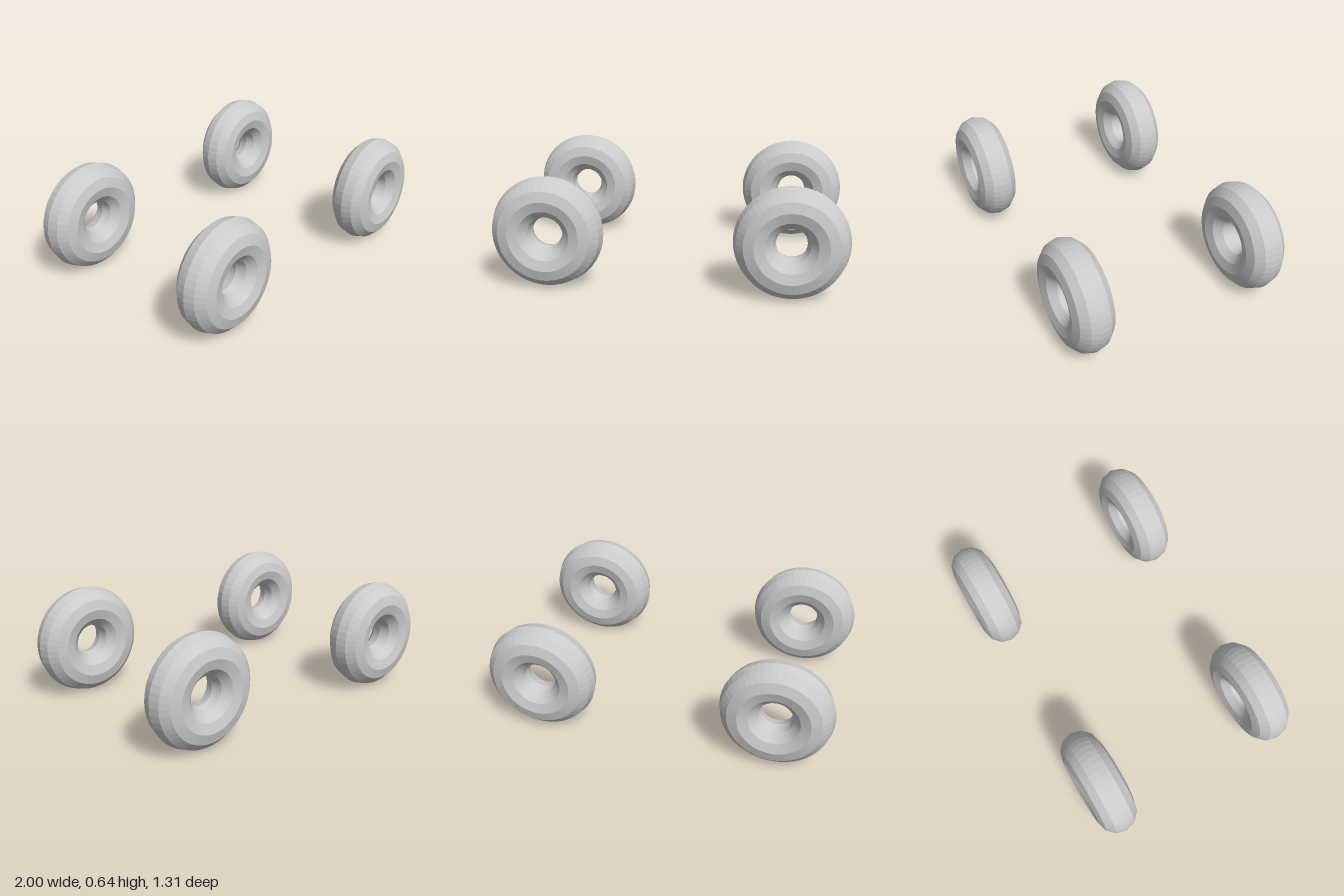
import * as THREE from 'three';

export function createModel() {
  const group = new THREE.Group();
  const material = new THREE.MeshStandardMaterial({ color: 0xcccccc, flatShading: true });

  // One low-poly tyre, axis along z, shared by all four wheels
  const ring = 0.202, tube = 0.117;
  const tyre = new THREE.TorusGeometry(ring, tube, 12, 48);

  // Wheel positions; the front right one sits slightly further back
  const wheels = [
    ['frontLeftTyre', 0.681, 0.536],
    ['frontRightTyre', -0.681, 0.507],
    ['backLeftTyre', 0.681, -0.536],
    ['backRightTyre', -0.681, -0.536],
  ];
  for (const [name, x, z] of wheels) {
    const mesh = new THREE.Mesh(tyre, material);
    mesh.name = name;
    mesh.position.set(x, 0.323, z);
    group.add(mesh);
  }
  return group;
}
